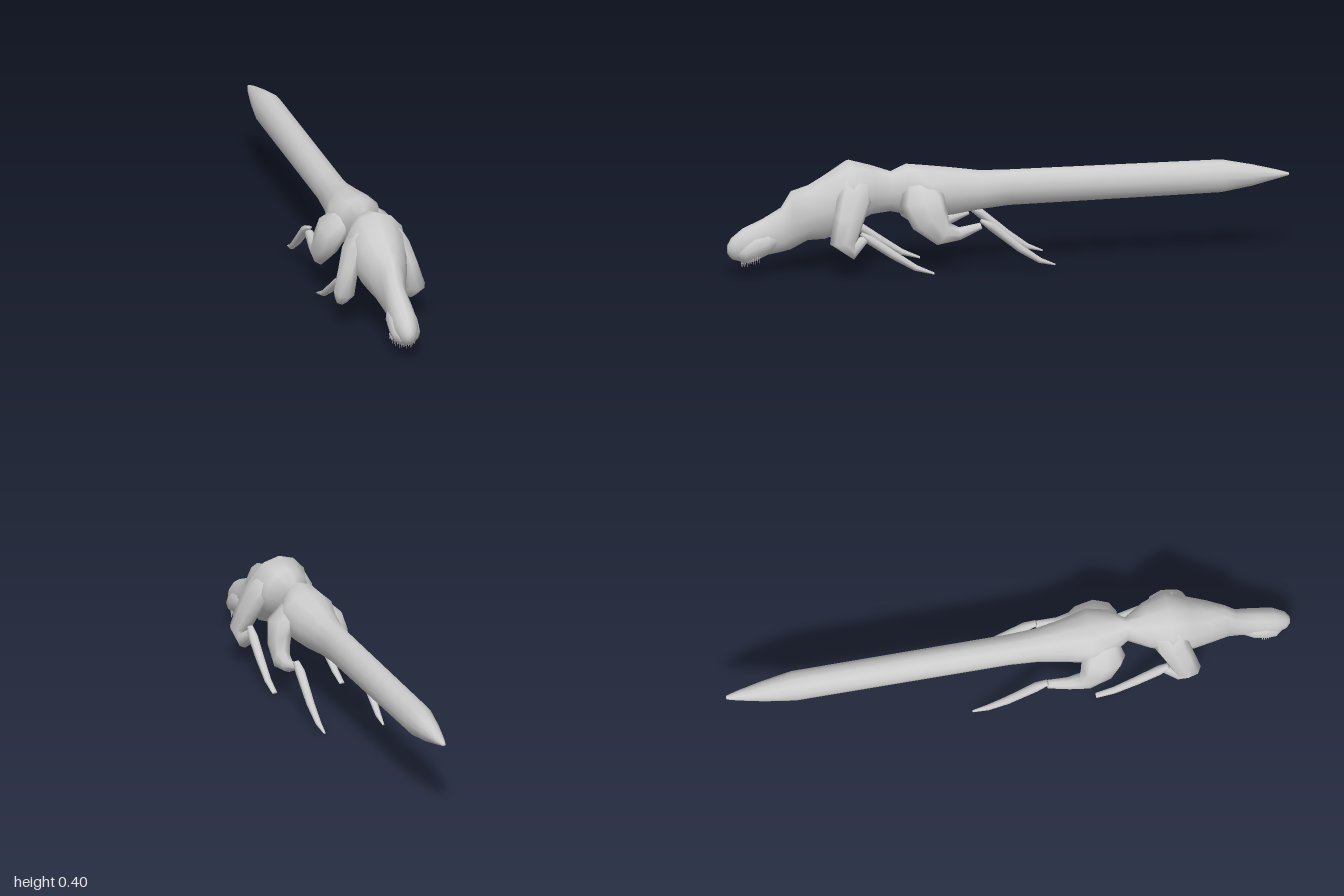
import * as THREE from 'three';

const material = new THREE.MeshStandardMaterial({ color: 0xcccccc, side: THREE.DoubleSide });

// Skin closed oval rings, each given as [x, y, z, halfWidth, halfDepth].
// Rings stay upright when `upright` is set, otherwise they turn with the path.
function loft(name, rings, sides, upright = false) {
  const pos = [], index = [];
  const xAxis = new THREE.Vector3(1, 0, 0);
  rings.forEach(([x, y, z, rx, ry], i) => {
    const a = rings[Math.max(i - 1, 0)], b = rings[Math.min(i + 1, rings.length - 1)];
    const t = upright ? new THREE.Vector3(0, 0, -1)
      : new THREE.Vector3(0, b[1] - a[1], b[2] - a[2]).normalize();
    const v = xAxis.clone().cross(t);
    for (let j = 0; j < sides; j++) {
      const ang = (j / sides) * Math.PI * 2;
      const s = Math.sin(ang) * ry;
      pos.push(x + Math.cos(ang) * rx, y + v.y * s, z + v.z * s);
    }
  });
  for (let i = 0; i < rings.length - 1; i++) {
    for (let j = 0; j < sides; j++) {
      const k = (j + 1) % sides;
      const p = i * sides + j, q = i * sides + k;
      index.push(p, p + sides, q, q, p + sides, q + sides);
    }
  }
  // End caps
  const last = (rings.length - 1) * sides;
  [0, rings.length - 1].forEach((r, e) => {
    const c = pos.length / 3;
    pos.push(rings[r][0], rings[r][1], rings[r][2]);
    for (let j = 0; j < sides; j++) {
      const k = (j + 1) % sides;
      if (e === 0) index.push(c, j, k);
      else index.push(c, last + k, last + j);
    }
  });
  const geo = new THREE.BufferGeometry();
  geo.setAttribute('position', new THREE.Float32BufferAttribute(pos, 3));
  geo.setIndex(index);
  geo.computeVertexNormals();
  const mesh = new THREE.Mesh(geo, material);
  mesh.name = name;
  return mesh;
}

// Body outline: [z, top, bottom, halfWidth]
const bodyProfile = [
  [1.0, 0.115, 0.08, 0.012],
  [0.985, 0.14, 0.062, 0.028],
  [0.945, 0.172, 0.05, 0.043],
  [0.88, 0.2, 0.068, 0.045],
  [0.81, 0.24, 0.08, 0.04],
  [0.775, 0.297, 0.088, 0.046],
  [0.715, 0.315, 0.118, 0.07],
  [0.65, 0.352, 0.12, 0.088],
  [0.57, 0.4, 0.165, 0.108],
  [0.49, 0.377, 0.2, 0.08],
  [0.42, 0.352, 0.208, 0.036],
  [0.365, 0.376, 0.195, 0.075],
  [0.29, 0.367, 0.183, 0.1],
  [0.2, 0.355, 0.185, 0.075],
  [0.1, 0.34, 0.2, 0.057],
  [0, 0.338, 0.21, 0.052],
  [-0.76, 0.338, 0.22, 0.052],
  [-0.87, 0.315, 0.238, 0.036],
  [-0.96, 0.292, 0.26, 0.018],
  [-1.0, 0.28, 0.27, 0.007],
];

// Limbs on the +x side; mirrored for the other
const limbs = {
  frontThigh: [
    [0.055, 0.335, 0.555, 0.035, 0.055],
    [0.08, 0.28, 0.565, 0.042, 0.062],
    [0.107, 0.21, 0.59, 0.037, 0.054],
    [0.128, 0.135, 0.612, 0.037, 0.05],
    [0.125, 0.1, 0.578, 0.027, 0.03],
    [0.118, 0.142, 0.535, 0.017, 0.016],
  ],
  frontShin: [
    [0.117, 0.158, 0.548, 0.012, 0.008],
    [0.119, 0.135, 0.515, 0.018, 0.016],
    [0.123, 0.08, 0.435, 0.016, 0.015],
    [0.126, 0.03, 0.355, 0.013, 0.011],
    [0.126, 0.007, 0.29, 0.01, 0.004],
  ],
  hindThigh: [
    [0.04, 0.315, 0.33, 0.04, 0.05],
    [0.082, 0.265, 0.325, 0.052, 0.08],
    [0.105, 0.2, 0.3, 0.04, 0.07],
    [0.114, 0.145, 0.255, 0.031, 0.045],
    [0.113, 0.143, 0.195, 0.023, 0.023],
    [0.112, 0.167, 0.12, 0.016, 0.012],
  ],
  hindShin: [
    [0.112, 0.185, 0.12, 0.012, 0.007],
    [0.113, 0.162, 0.08, 0.018, 0.016],
    [0.114, 0.08, -0.02, 0.015, 0.014],
    [0.112, 0.033, -0.09, 0.011, 0.01],
    [0.11, 0.015, -0.145, 0.004, 0.003],
  ],
};

export function createModel() {
  const model = new THREE.Group();
  model.name = 'creature';

  // Head, neck, torso and tail in one skin
  model.add(loft('body', bodyProfile.map(([z, top, bottom, w]) =>
    [0, (top + bottom) / 2, z, w, (top - bottom) / 2]), 12, true));

  // Jaw and cheeks around the lower head
  model.add(loft('jaw', [
    [0, 0.085, 0.972, 0.028, 0.022],
    [0, 0.09, 0.945, 0.05, 0.045],
    [0, 0.105, 0.91, 0.055, 0.056],
    [0, 0.12, 0.865, 0.052, 0.05],
    [0, 0.135, 0.82, 0.035, 0.035],
  ], 12, true));

  // Row of fine teeth hanging around the jaw
  const teeth = new THREE.Group();
  teeth.name = 'teeth';
  const tooth = new THREE.ConeGeometry(0.0022, 0.024, 4).rotateX(Math.PI);
  const count = 23;
  for (let i = 0; i < count; i++) {
    const a = (i / (count - 1)) * Math.PI;
    const m = new THREE.Mesh(tooth, material);
    m.name = 'tooth';
    m.position.set(Math.cos(a) * 0.046, 0.065 - Math.sin(a) * 0.02, 0.895 + Math.sin(a) * 0.055);
    teeth.add(m);
  }
  model.add(teeth);

  // Two pairs of legs
  for (const side of [1, -1]) {
    for (const [name, path] of Object.entries(limbs)) {
      const rings = path.map(([x, ...rest]) => [x * side, ...rest]);
      model.add(loft((side > 0 ? 'left ' : 'right ') + name, rings, 8));
    }
  }
  return model;
}
